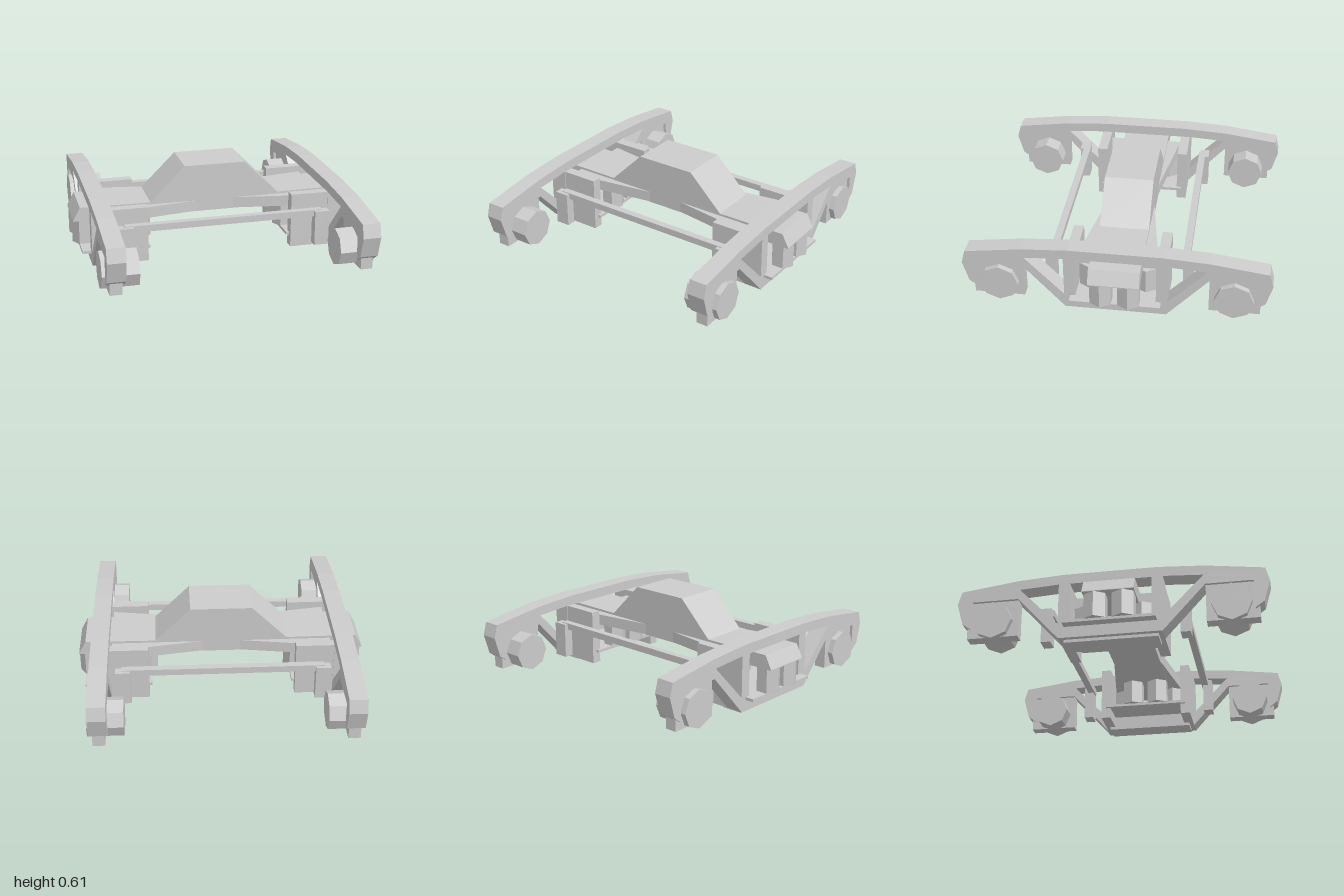
import * as THREE from 'three';

const material = new THREE.MeshStandardMaterial({ color: 0xcccccc, flatShading: true });

function add(parent, name, geometry, x = 0, y = 0, z = 0) {
  const mesh = new THREE.Mesh(geometry, material);
  mesh.name = name;
  mesh.position.set(x, y, z);
  parent.add(mesh);
  return mesh;
}

// Box given by its limits on each axis
function block(parent, name, [x0, x1], [y0, y1], [z0, z1]) {
  return add(parent, name, new THREE.BoxGeometry(x1 - x0, y1 - y0, z1 - z0),
    (x0 + x1) / 2, (y0 + y1) / 2, (z0 + z1) / 2);
}

const points = (list) => list.map(([x, y]) => new THREE.Vector2(x, y));

// Extrusion centred on its depth
function extrude(outline, depth, holes = []) {
  const shape = new THREE.Shape(points(outline));
  shape.holes = holes.map((h) => new THREE.Path(points(h)));
  return new THREE.ExtrudeGeometry(shape, { depth, bevelEnabled: false }).translate(0, 0, -depth / 2);
}

// Outline completed by its mirror image across the vertical axis
const mirrored = (half) => [...half, ...half.map(([x, y]) => [-x, y]).reverse()];

// Side frame profile, drawn in z and y
function sideFrameGeometry() {
  const outline = mirrored([
    [0.33, 0.02], [0.6, 0.32], [0.9, 0.32], [0.905, 0.13], [0.96, 0.17],
    [1, 0.31], [0.975, 0.4], [0.6, 0.45], [0.3, 0.468],
  ]);
  const triangle = [[0.335, 0.12], [0.59, 0.385], [0.335, 0.4]];
  const holes = [
    triangle,
    triangle.map(([z, y]) => [-z, y]),
    [[-0.265, 0.1], [0.265, 0.1], [0.265, 0.4], [-0.265, 0.4]],
  ];
  return extrude(outline, 0.12, holes).rotateY(-Math.PI / 2);
}

// Side truss with its bearings, springs and guides; s is +1 or -1
function createSide(s) {
  const side = new THREE.Group();
  side.name = s > 0 ? 'leftSide' : 'rightSide';
  const span = (a, b) => (s > 0 ? [a, b] : [-b, -a]);

  add(side, 'sideFrame', sideFrameGeometry(), s * 0.82);
  block(side, 'springPlate', span(0.48, 0.94), [0.095, 0.115], [-0.295, 0.295]);
  block(side, 'bottomRail', span(0.7, 0.85), [0, 0.095], [-0.3, 0.3]);

  for (const e of [1, -1]) {
    const along = (a, b) => (e > 0 ? [a, b] : [-b, -a]);
    block(side, 'bolsterGuide', span(0.5, 0.88), [0.02, 0.4], along(0.262, 0.33));
    block(side, 'axleBox', span(0.78, 0.86), [0.07, 0.32], along(0.6, 0.93));
    add(side, 'axleBearing',
      new THREE.CylinderGeometry(0.127, 0.127, 0.24, 8).rotateZ(Math.PI / 2), s * 0.778, 0.177, e * 0.76);

    // Hexagonal spring cluster
    for (const [x, z] of [[0.9, 0.09], [0.71, 0.185], [0.52, 0.09]]) {
      add(side, 'spring',
        new THREE.CylinderGeometry(0.08, 0.08, 0.17, 6).rotateY(Math.PI / 2), s * x, 0.197, e * z);
    }
  }
  return side;
}

export function createModel() {
  const model = new THREE.Group();
  model.name = 'railTruck';

  // Cross bolster with raised centre
  add(model, 'bolster', extrude(mirrored([
    [0.978, 0.28], [0.978, 0.285], [0.93, 0.375], [0.45, 0.372], [0.21, 0.61],
  ]), 0.33));

  // Wings that widen toward the side frames, drawn in x and z
  for (const s of [1, -1]) {
    const outline = [[0.13, -0.165], [0.75, -0.262], [0.75, 0.262], [0.13, 0.165]]
      .map(([x, z]) => [s * x, z]);
    add(model, 'bolsterWing', extrude(outline, 0.075).rotateX(-Math.PI / 2), 0, 0.32, 0);
    model.add(createSide(s));
  }

  // Brake beams with end heads
  for (const e of [1, -1]) {
    const along = (a, b) => (e > 0 ? [a, b] : [-b, -a]);
    block(model, 'brakeBeam', [-0.68, 0.68], [0.28, 0.325], along(0.41, 0.458));
    block(model, 'leftBrakeHead', [0.62, 0.72], [0.08, 0.32], along(0.42, 0.485));
    block(model, 'rightBrakeHead', [-0.72, -0.62], [0.08, 0.32], along(0.42, 0.485));
  }
  return model;
}
